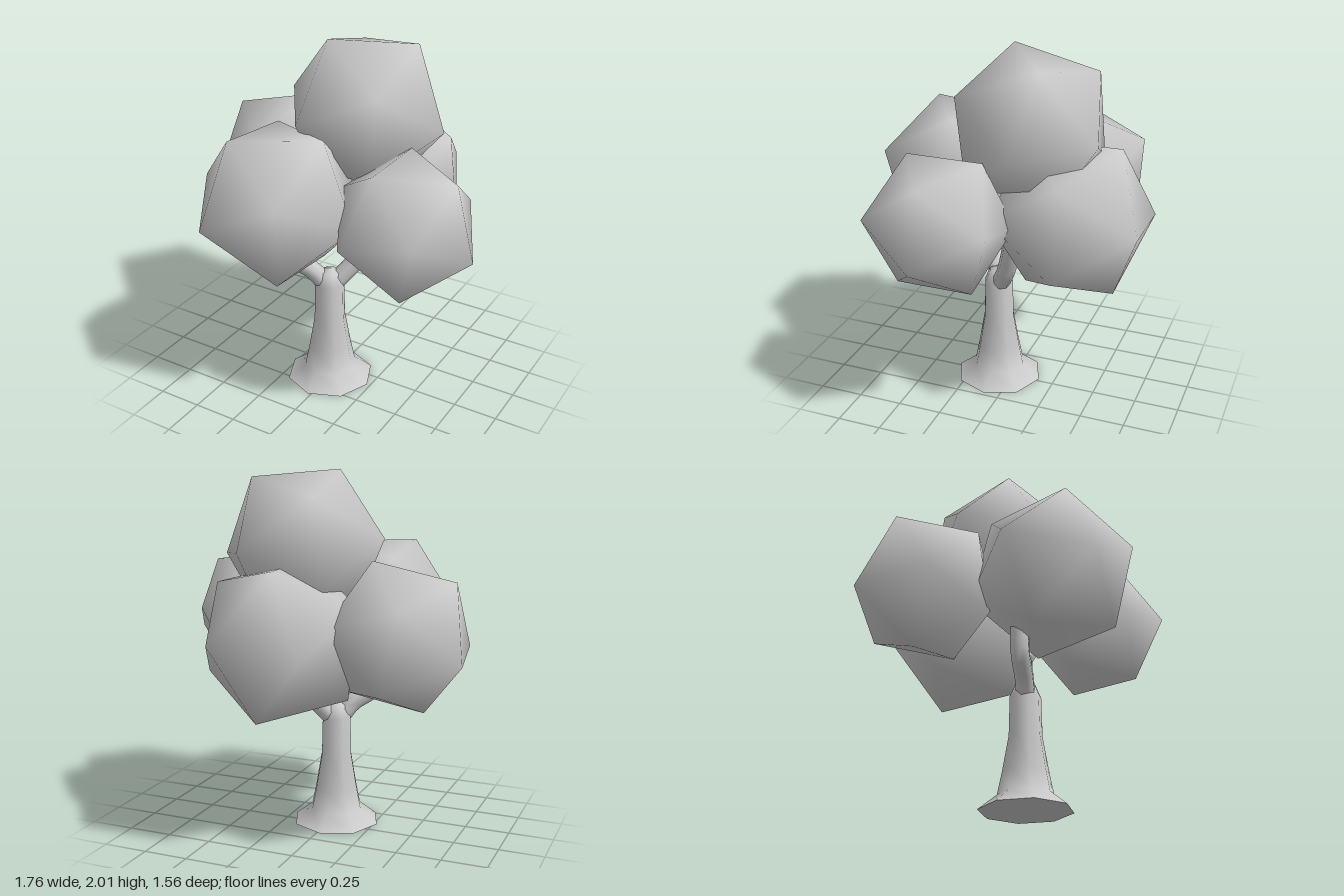
import * as THREE from 'three';

const material = new THREE.MeshStandardMaterial({ color: 0xcccccc });
const V = (p) => new THREE.Vector3(...p);

// Smooth-shaded icosahedron, turned so that one edge runs from direction a to direction b
function leafClump(name, center, radius, a, b) {
  const geo = new THREE.IcosahedronGeometry(radius, 0);
  const pos = geo.attributes.position;
  const n = new THREE.Vector3();
  for (let i = 0; i < pos.count; i++) {
    n.fromBufferAttribute(pos, i).normalize();
    geo.attributes.normal.setXYZ(i, n.x, n.y, n.z);
  }
  const y = V(a).normalize().add(V(b).normalize()).normalize();
  const x = V(b).sub(V(a));
  x.addScaledVector(y, -x.dot(y)).normalize();
  const z = x.clone().cross(y);
  const mesh = new THREE.Mesh(geo, material);
  mesh.name = name;
  mesh.quaternion.setFromRotationMatrix(new THREE.Matrix4().makeBasis(x, y, z));
  mesh.position.set(...center);
  return mesh;
}

// Bent limb, round in section
function branch(name, points, radius) {
  const curve = new THREE.CatmullRomCurve3(points.map(V), false, 'catmullrom', 0.25);
  const mesh = new THREE.Mesh(new THREE.TubeGeometry(curve, 10, radius, 8), material);
  mesh.name = name;
  return mesh;
}

export function createModel() {
  const tree = new THREE.Group();
  tree.name = 'tree';

  // Trunk with flared foot, closed underneath
  const profile = [[0.25, 0], [0.15, 0.08], [0.125, 0.2], [0.09, 0.4], [0.085, 0.62], [0.055, 0.69], [0, 0.71]]
    .map(([r, y]) => new THREE.Vector2(r, y));
  const trunk = new THREE.Mesh(new THREE.LatheGeometry(profile, 8), material);
  trunk.name = 'trunk';
  trunk.position.set(-0.02, 0, 0.09);
  const foot = new THREE.Mesh(new THREE.CircleGeometry(0.25, 8), material);
  foot.name = 'trunkBase';
  foot.rotation.x = Math.PI / 2;
  foot.position.set(-0.02, 0, 0.09);
  tree.add(trunk, foot);

  // Forked limbs
  tree.add(
    branch('leftBranch', [[-0.01, 0.6, 0.08], [0.1, 0.75, 0.0], [0.16, 0.9, -0.05], [0.22, 1.15, -0.1]], 0.052),
    branch('rightBranch', [[-0.03, 0.6, 0.1], [-0.1, 0.7, 0.14], [-0.22, 0.79, 0.2], [-0.23, 1.0, 0.21]], 0.052)
  );

  // Crown
  tree.add(
    leafClump('topFoliage', [0.08, 1.61, -0.14], 0.455, [0.45, -0.05, -0.02], [0.26, 0.38, -0.12]),
    leafClump('frontFoliage', [-0.165, 1.21, 0.37], 0.46, [-0.22, -0.06, 0.41], [0.24, 0.15, 0.37]),
    leafClump('leftFoliage', [0.51, 1.18, 0.21], 0.4, [0.34, -0.13, 0], [0.24, 0.28, 0]),
    leafClump('rightFoliage', [-0.49, 1.17, -0.23], 0.42, [-0.38, -0.09, -0.15], [-0.31, -0.07, 0.28]),
    leafClump('backFoliage', [0.1, 1.14, -0.38], 0.468, [0.24, 0.03, -0.41], [-0.26, -0.03, -0.37])
  );
  return tree;
}
